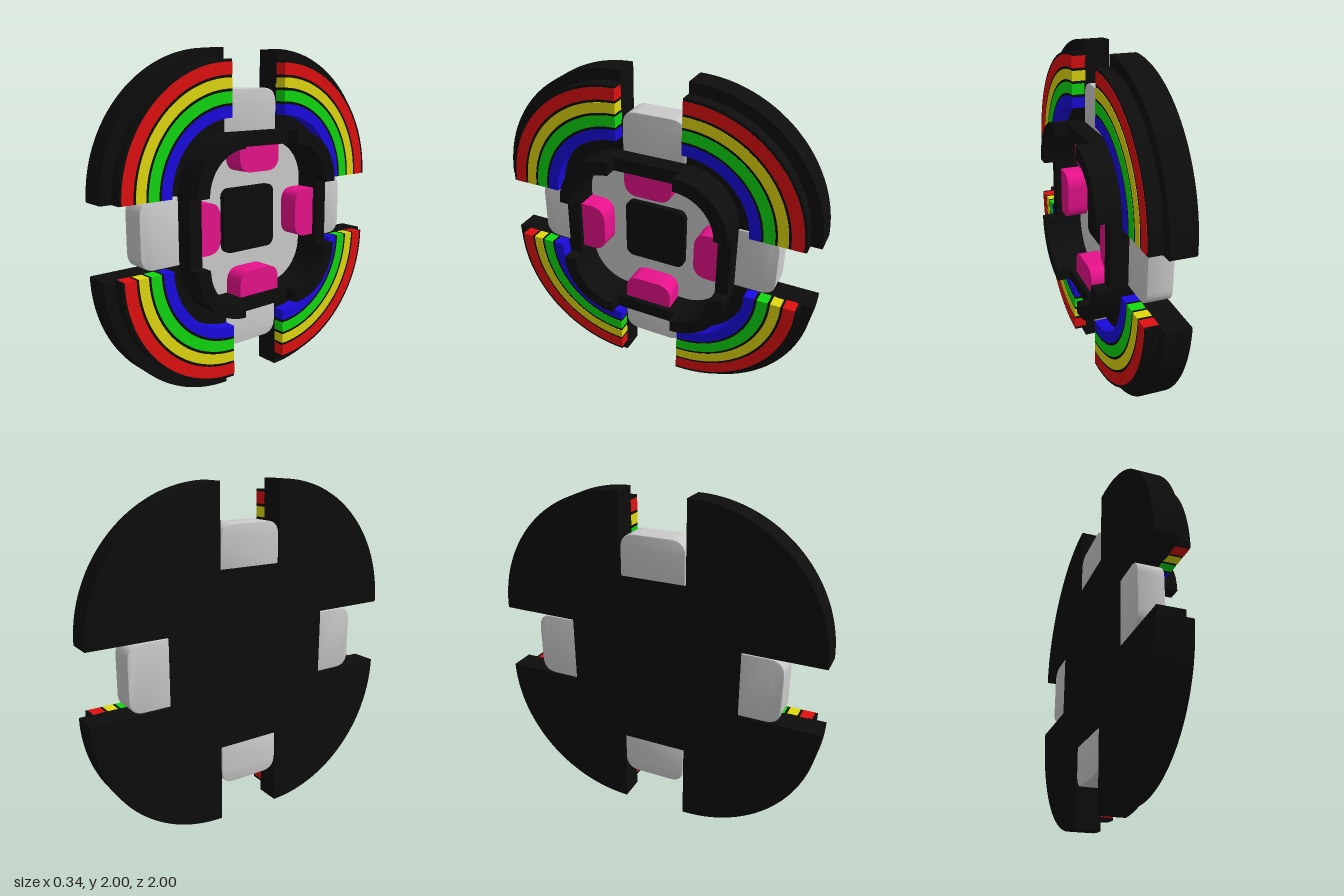
import * as THREE from 'three';
import { toCreasedNormals } from 'three/addons/utils/BufferGeometryUtils.js';

const mat = (color) => new THREE.MeshStandardMaterial({ color });
const Q = Math.PI / 2;
const C = 0.2; // shared centre offset of all corner arcs

export function createModel() {
  const model = new THREE.Group();
  model.name = 'roundedDiscToy';

  // Shapes are drawn face-on; local z is the disc's thickness.
  const disc = new THREE.Group();
  disc.name = 'disc';
  disc.rotation.y = Q;
  disc.position.y = 1;
  model.add(disc);

  const black = mat(0x0d0d0d), grey = mat(0xcccccc), pink = mat(0xe8128c);

  const slab = (name, shape, z0, z1, material, turn = 0, bevel = 0) => {
    const g = new THREE.ExtrudeGeometry(shape, {
      depth: z1 - z0 - 2 * bevel, curveSegments: 20, bevelEnabled: bevel > 0,
      bevelSize: bevel, bevelOffset: -bevel, bevelThickness: bevel, bevelSegments: 2,
    });
    g.translate(0, 0, z0 + bevel);
    const m = new THREE.Mesh(toCreasedNormals(g, 0.5), material);
    m.name = name;
    m.rotation.z = turn * Q;
    disc.add(m);
  };

  // Square with rounded corners
  const roundedSquare = (half, r, P = THREE.Shape) => {
    const s = new P();
    for (let k = 0; k < 4; k++) {
      const sx = k === 0 || k === 3 ? 1 : -1, sy = k < 2 ? 1 : -1;
      s.absarc(sx * (half - r), sy * (half - r), r, k * Q, (k + 1) * Q);
    }
    s.closePath();
    return s;
  };

  // Quarter ring around the corner centre
  const quarterRing = (r0, r1) => {
    const s = new THREE.Shape();
    s.absarc(C, C, r1, 0, Q, false);
    s.absarc(C, C, r0, Q, 0, true);
    s.closePath();
    return s;
  };

  // Block along +y from y0 to y1, its corners at y1 rounded
  const tab = (y0, y1, w, r) => {
    const d = Math.sign(y1 - y0);
    const s = new THREE.Shape();
    s.moveTo(-w, y0);
    s.lineTo(w, y0);
    s.lineTo(w, y1 - d * r);
    s.quadraticCurveTo(w, y1, w - r, y1);
    s.lineTo(-w + r, y1);
    s.quadraticCurveTo(-w, y1, -w, y1 - d * r);
    s.closePath();
    return s;
  };

  // Base outline: four large arcs with a notch between neighbours
  const outline = () => {
    const s = new THREE.Shape();
    for (let k = 0; k < 4; k++) {
      const c = Math.round(Math.cos(k * Q)), n = Math.round(Math.sin(k * Q));
      const at = (x, y) => [x * c - y * n, x * n + y * c];
      s.absarc(...at(C, C), 0.8, k * Q, (k + 1) * Q);
      s.lineTo(...at(C, 0.53));
      s.lineTo(...at(-C, 0.53));
    }
    s.closePath();
    return s;
  };

  // Base with a shallow central well
  slab('baseBack', outline(), -0.17, -0.08, black);
  const rim = outline();
  rim.holes.push(roundedSquare(0.45, 0.25, THREE.Path));
  slab('baseRim', rim, -0.08, -0.02, black);

  // Well floor and centre block
  slab('wellFloor', roundedSquare(0.45, 0.25), -0.085, -0.07, grey);
  slab('centreBlock', roundedSquare(0.195, 0.05), -0.075, -0.035, black);

  // Wall around the well
  const wall = roundedSquare(0.53, 0.33);
  wall.holes.push(roundedSquare(0.45, 0.25, THREE.Path));
  slab('wall', wall, -0.03, 0.09, black);

  // Coloured arcs: [name, inner radius, outer radius, colour]
  const bands = [
    ['redBand', 0.65, 0.72, 0xe01010],
    ['yellowBand', 0.575, 0.635, 0xe0d810],
    ['greenBand', 0.495, 0.56, 0x10d810],
    ['blueBand', 0.415, 0.48, 0x1a0ae0],
  ].map(([name, r0, r1, color]) => [name, r0, r1, mat(color)]);

  for (let k = 0; k < 4; k++) {
    slab('raisedCorner', quarterRing(0.25, 0.33), 0.08, 0.17, black, k);
    for (const [name, r0, r1, material] of bands) {
      slab(name, quarterRing(r0, r1), -0.025, 0.057, material, k);
      // Thin dark strip outside each band
      slab('darkStrip', quarterRing(r1, r1 + 0.015), -0.025, 0.055, black, k);
    }
    slab('sideTab', tab(0.525, 0.775, 0.195, 0.09), -0.168, -0.018, grey, k, 0.006);
    slab('innerBlock', tab(0.455, 0.295, 0.15, 0.09), -0.075, 0.06, pink, k);
  }

  return model;
}
